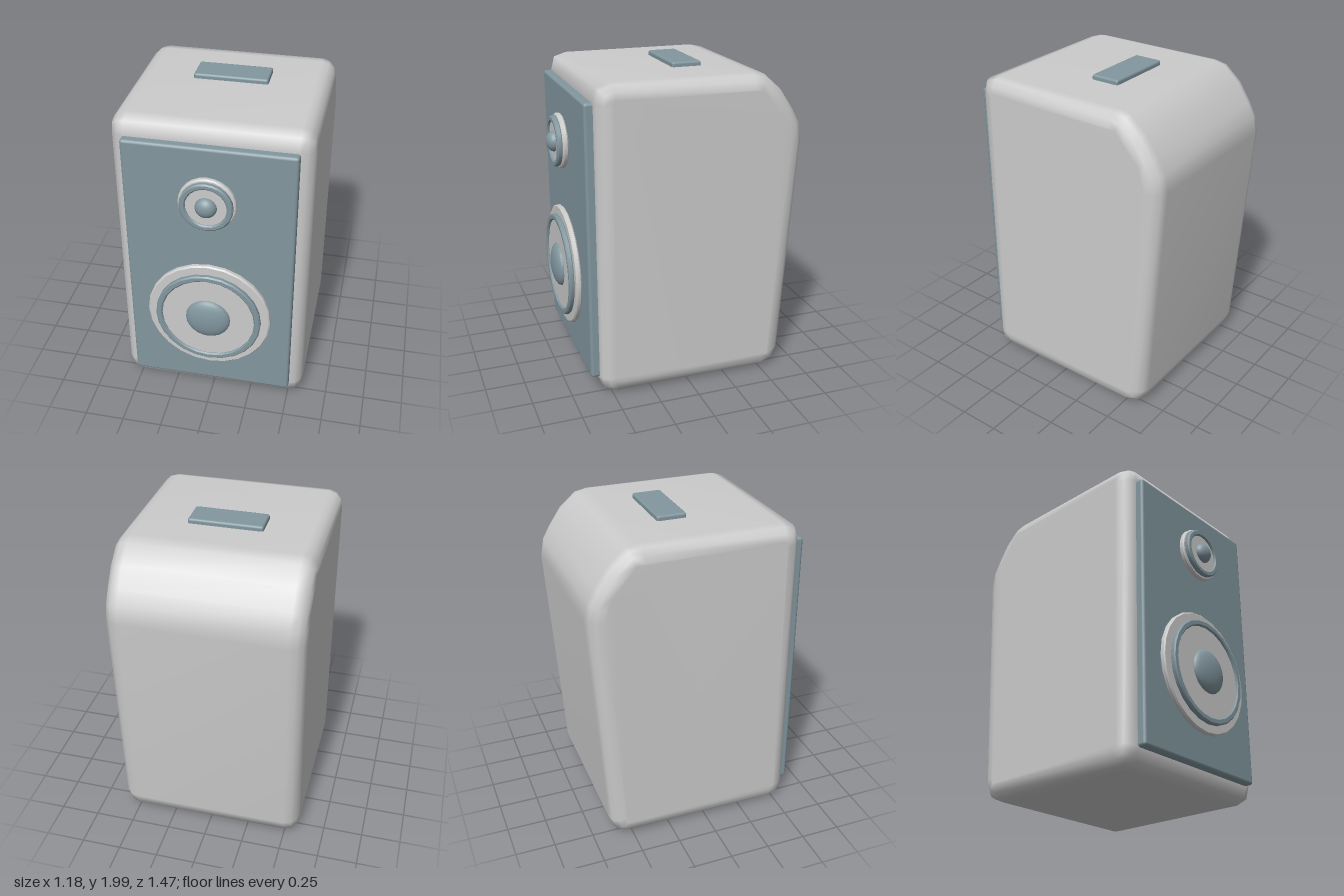
import * as THREE from 'three';
import { RoundedBoxGeometry } from 'three/addons/geometries/RoundedBoxGeometry.js';
import { mergeVertices, toCreasedNormals } from 'three/addons/utils/BufferGeometryUtils.js';

const grey = new THREE.MeshStandardMaterial({ color: 0xcccccc });
const blue = new THREE.MeshStandardMaterial({ color: 0x82979f });

function add(parent, name, geometry, material, x = 0, y = 0, z = 0) {
  const mesh = new THREE.Mesh(geometry, material);
  mesh.name = name;
  mesh.position.set(x, y, z);
  parent.add(mesh);
  return mesh;
}

// Cabinet: side profile (rearward, up) extruded across the width with rounded sides
function cabinetGeometry() {
  const profile = [
    [-0.575, 0.12], [-0.553, 0.04], [-0.475, 0.01],
    [0.52, 0.01], [0.605, 0.045], [0.64, 0.13],
    [0.732, 1.55], [0.713, 1.66], [0.665, 1.745], [0.587, 1.86], [0.48, 1.953], [0.4, 1.97],
    [-0.475, 1.97], [-0.553, 1.945], [-0.575, 1.86],
  ].map(([u, v]) => new THREE.Vector2(u, v));
  const bevel = 0.09;
  let geometry = new THREE.ExtrudeGeometry(new THREE.Shape(profile), {
    depth: 1.18 - 2 * bevel, bevelEnabled: true, bevelSize: bevel, bevelThickness: bevel,
    bevelOffset: -bevel, bevelSegments: 3,
  });
  geometry.translate(0, 0, bevel - 0.59);
  geometry.rotateY(Math.PI / 2);
  // Weld everything so the rounded edges shade smoothly
  geometry.deleteAttribute('uv');
  geometry.deleteAttribute('normal');
  geometry = mergeVertices(geometry, 1e-4);
  geometry.computeVertexNormals();
  return geometry;
}

// Turned part facing +z, from (radius, z) points
function turned(points) {
  const geometry = new THREE.LatheGeometry(points.map(([r, z]) => new THREE.Vector2(r, z)), 24);
  geometry.rotateX(Math.PI / 2);
  return toCreasedNormals(geometry, 0.6);
}

// Flat ring with softened outer and inner front edges
function ring(inner, outer, z0, z1, c = 0.008) {
  return turned([
    [inner, z0], [outer - c, z0], [outer, z0 + c], [outer, z1 - c],
    [outer - c, z1], [inner + c, z1], [inner, z1 - c], [inner, z0],
  ]);
}

// Speaker driver: flange, surround, cone and dust cap
function driver(name, y, flange, surround, cone, cap) {
  const group = new THREE.Group();
  group.name = name;
  group.position.y = y;
  add(group, name + 'Flange', ring(cone, flange, 0.634, 0.669), grey);
  add(group, name + 'Surround', ring(cone, surround, 0.665, 0.7), blue);
  add(group, name + 'Cone', turned([[0, 0.6], [cone + 0.005, 0.6], [cone + 0.005, 0.688], [0, 0.688]]), grey);
  const dome = new THREE.SphereGeometry(cap, 24, 8, 0, Math.PI * 2, 0, Math.PI / 2);
  dome.rotateX(Math.PI / 2);
  add(group, name + 'DustCap', dome, blue, 0, 0, 0.686).scale.z = 0.05 / cap;
  return group;
}

export function createModel() {
  const model = new THREE.Group();
  model.name = 'speaker';
  add(model, 'cabinet', cabinetGeometry(), grey);
  add(model, 'frontPanel', new RoundedBoxGeometry(1.02, 1.745, 0.12, 2, 0.018), blue, 0, 0.988, 0.565);
  add(model, 'topPlate', new RoundedBoxGeometry(0.456, 0.05, 0.186, 2, 0.014), blue, 0, 1.975, -0.098);
  model.add(
    driver('woofer', 0.69, 0.386, 0.33, 0.29, 0.14),
    driver('tweeter', 1.517, 0.172, 0.158, 0.122, 0.065),
  );
  return model;
}
